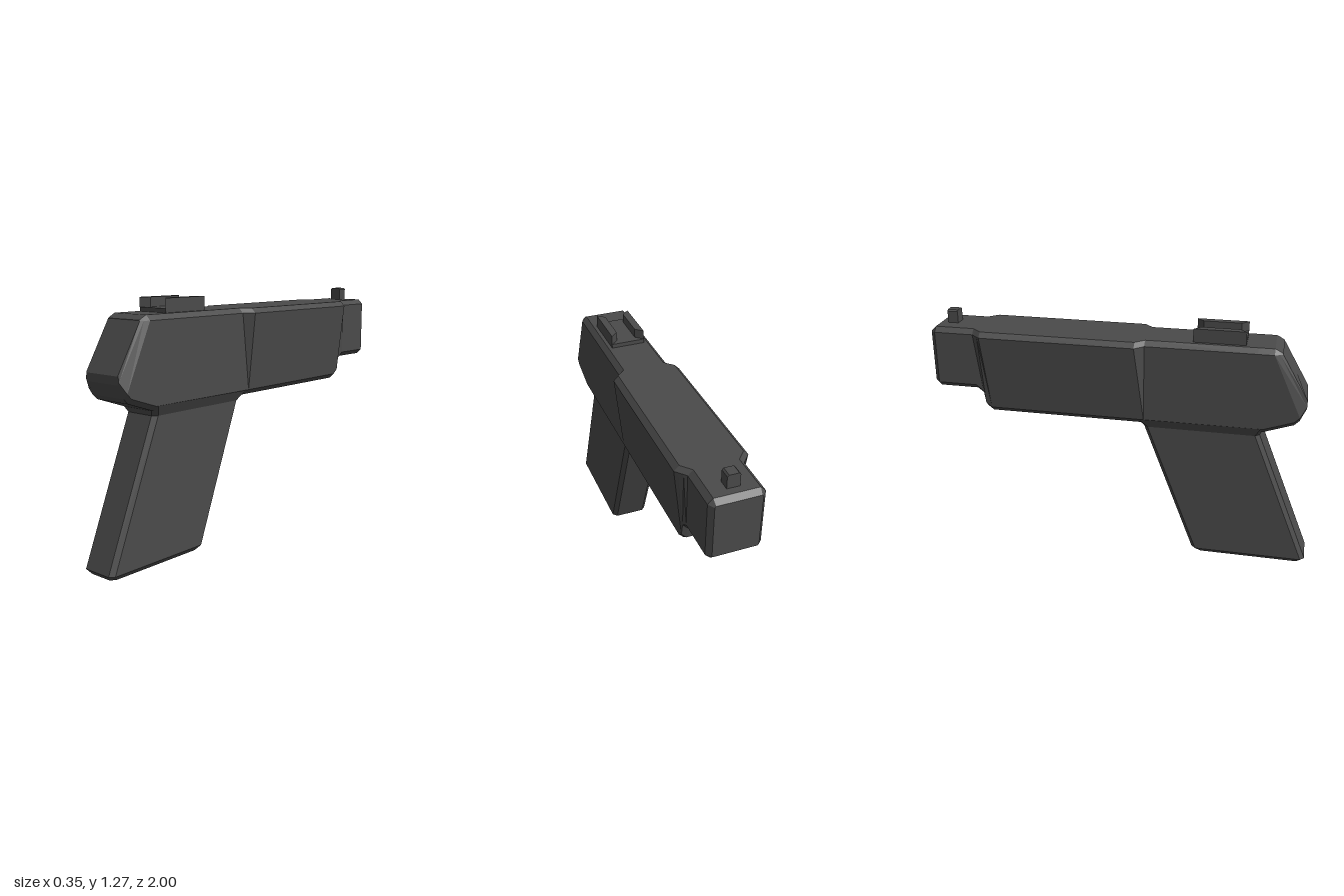
import * as THREE from 'three';

const darkGrey = new THREE.MeshStandardMaterial({ color: 0x4a4a4a });
darkGrey.name = 'darkGrey';

// Skins a row of equal-length rings and closes both ends; flat facets
function loft(name, rings) {
  const pos = [];
  const tri = (a, b, c) => pos.push(...a, ...b, ...c);
  const n = rings[0].length;
  for (let s = 0; s < rings.length - 1; s++) {
    const a = rings[s], b = rings[s + 1];
    for (let i = 0; i < n; i++) {
      const j = (i + 1) % n;
      tri(a[i], a[j], b[j]);
      tri(a[i], b[j], b[i]);
    }
  }
  const first = rings[0], last = rings[rings.length - 1];
  for (let i = 1; i < n - 1; i++) {
    tri(first[0], first[i + 1], first[i]);
    tri(last[0], last[i], last[i + 1]);
  }
  const geo = new THREE.BufferGeometry();
  geo.setAttribute('position', new THREE.Float32BufferAttribute(pos, 3));
  geo.computeVertexNormals();
  return mesh(name, geo);
}

function mesh(name, geo) {
  const m = new THREE.Mesh(geo, darkGrey);
  m.name = name;
  return m;
}

// Upright chamfered section: bottom z/y, top z/y, half widths, chamfer
function bodyRing([bz, by, tz, ty, wb, wt, c]) {
  return [
    [wt, ty - c, tz], [wb, by + c, bz], [wb - c, by, bz], [c - wb, by, bz],
    [-wb, by + c, bz], [-wt, ty - c, tz], [c - wt, ty, tz], [wt - c, ty, tz],
  ];
}

// Level chamfered section: height, back z, front z, half width
function gripRing([y, back, front, w]) {
  const c = 0.022;
  return [
    [w, y, back - c], [w, y, front + c], [w - c, y, front], [c - w, y, front],
    [-w, y, front + c], [-w, y, back - c], [c - w, y, back], [w - c, y, back],
  ];
}

export function createModel() {
  const group = new THREE.Group();
  group.name = 'pistol';

  // Body, from the slanted back end to the muzzle
  group.add(loft('body', [
    [0.935, 0.94, 0.80, 1.178, 0.108, 0.108, 0.004],
    [0.935, 0.90, 0.785, 1.187, 0.112, 0.118, 0.012],
    [0.905, 0.835, 0.76, 1.2, 0.132, 0.132, 0.025],
    [0.88, 0.81, 0.74, 1.2, 0.132, 0.132, 0.025],
    [0.73, 0.758, 0.68, 1.2, 0.132, 0.132, 0.025],
    [0.125, 0.756, 0.125, 1.2, 0.132, 0.132, 0.025],
    [0.08, 0.756, 0.08, 1.2, 0.132, 0.176, 0.025],
    [-0.69, 0.756, -0.72, 1.2, 0.132, 0.176, 0.025],
    [-0.72, 0.78, -0.735, 1.2, 0.132, 0.163, 0.025],
    [-0.73, 0.845, -0.755, 1.2, 0.132, 0.145, 0.025],
    [-0.77, 0.876, -0.77, 1.2, 0.132, 0.132, 0.025],
    [-0.975, 0.876, -0.975, 1.2, 0.132, 0.132, 0.025],
    [-1, 0.9, -1, 1.176, 0.11, 0.11, 0.006],
  ].map(bodyRing)));

  // Raked grip, flaring out where it meets the body
  group.add(loft('grip', [
    [0, 0.98, 0.42, 0.082],
    [0.025, 1, 0.392, 0.102],
    [0.73, 0.715, 0.12, 0.102],
    [0.782, 0.74, 0.075, 0.131],
  ].map(gripRing)));

  // Rear sight: base plate and two walls
  const base = mesh('rearSightBase', new THREE.BoxGeometry(0.176, 0.03, 0.26));
  base.position.set(0, 1.206, 0.49);
  group.add(base);
  for (const side of [-1, 1]) {
    const plan = new THREE.Shape([
      [0.088, -0.62], [0.088, -0.36], [0.05, -0.395], [0.05, -0.585],
    ].map(([x, y]) => new THREE.Vector2(side * x, y)));
    const geo = new THREE.ExtrudeGeometry(plan, { depth: 0.05, bevelEnabled: false });
    geo.rotateX(-Math.PI / 2).translate(0, 1.218, 0);
    group.add(mesh(side > 0 ? 'rearSightWallLeft' : 'rearSightWallRight', geo));
  }

  // Front sight post
  group.add(loft('frontSight', [-0.883, -0.938].map(
    (z) => bodyRing([z, 1.18, z, 1.268, 0.031, 0.031, 0.008]))));

  return group;
}
